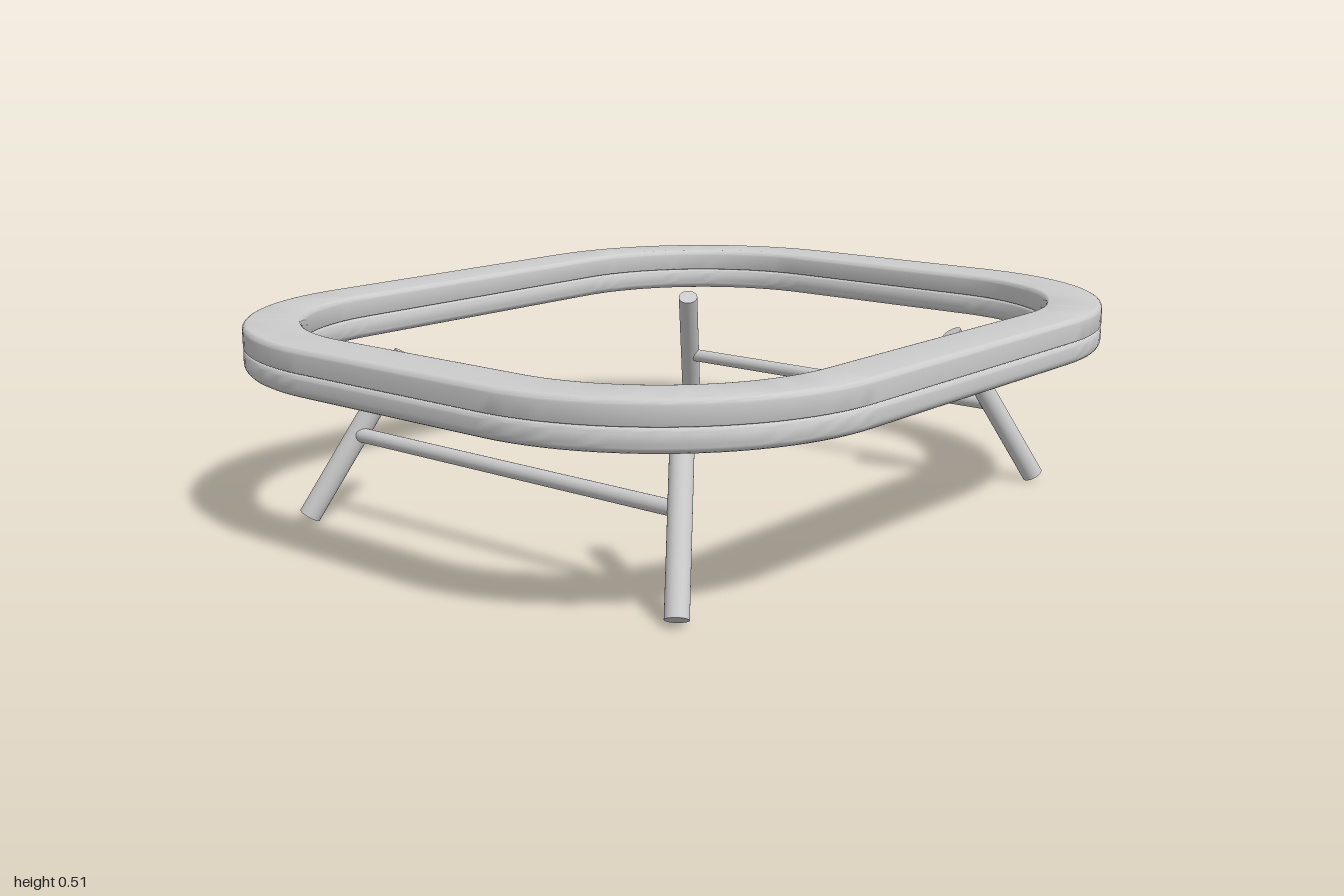
import * as THREE from 'three';
import { toCreasedNormals } from 'three/addons/utils/BufferGeometryUtils.js';

const UP = new THREE.Vector3(0, 1, 0);

// Closed profile of [inset from outer edge, height], swept round a rounded rectangle
function sweepFrame(profile) {
  const halfX = 0.86, halfZ = 1, radius = 0.575, steps = 24;
  const stations = [];
  for (let corner = 0; corner < 4; corner++) {
    for (let i = 0; i <= steps; i++) {
      const a = (corner + i / steps) * Math.PI / 2;
      const sx = corner === 0 || corner === 3 ? 1 : -1;
      const sz = corner < 2 ? 1 : -1;
      stations.push({ x: sx * (halfX - radius), z: sz * (halfZ - radius), c: Math.cos(a), s: Math.sin(a) });
    }
  }
  const positions = [], index = [];
  const n = profile.length, m = stations.length;
  for (const p of stations) {
    for (const [inset, y] of profile) {
      positions.push(p.x + p.c * (radius - inset), y, p.z + p.s * (radius - inset));
    }
  }
  for (let i = 0; i < m; i++) {
    for (let j = 0; j < n; j++) {
      const a = i * n + j, b = i * n + (j + 1) % n;
      const c = ((i + 1) % m) * n + j, d = ((i + 1) % m) * n + (j + 1) % n;
      index.push(a, b, c, b, d, c);
    }
  }
  const geometry = new THREE.BufferGeometry();
  geometry.setAttribute('position', new THREE.Float32BufferAttribute(positions, 3));
  geometry.setIndex(index);
  return toCreasedNormals(geometry, 0.6);
}

// Rectangle with rounded corners, running up the outer side and down the inner side
function bandProfile(y0, y1, width, rBottom, rTop) {
  const points = [];
  const corners = [
    [rBottom, y0 + rBottom, rBottom, -Math.PI / 2, Math.PI],
    [rTop, y1 - rTop, rTop, Math.PI, Math.PI / 2],
    [width - rTop, y1 - rTop, rTop, Math.PI / 2, 0],
    [width - rBottom, y0 + rBottom, rBottom, 0, -Math.PI / 2],
  ];
  corners.forEach(([x, y, r, from, to], k) => {
    if (k === 0) to = -Math.PI;
    for (let i = 0; i <= 5; i++) {
      const a = from + (to - from) * i / 5;
      points.push([x + r * Math.cos(a), y + r * Math.sin(a)]);
    }
  });
  return points;
}

// Round bar between two points
function bar(name, from, to, radius, material) {
  const direction = to.clone().sub(from);
  const mesh = new THREE.Mesh(new THREE.CylinderGeometry(radius, radius, direction.length(), 32), material);
  mesh.position.copy(from).add(to).multiplyScalar(0.5);
  mesh.quaternion.setFromUnitVectors(UP, direction.normalize());
  mesh.name = name;
  return mesh;
}

export function createModel() {
  const group = new THREE.Group();
  group.name = 'lowTableFrame';
  const grey = new THREE.MeshStandardMaterial({ color: 0xcccccc });
  grey.name = 'lightGrey';

  // Two stacked bands of the open rim, with a fine seam between them
  const lower = new THREE.Mesh(sweepFrame(bandProfile(0.398, 0.455, 0.14, 0.022, 0.014)), grey);
  lower.name = 'lowerRim';
  const upper = new THREE.Mesh(sweepFrame(bandProfile(0.455, 0.512, 0.14, 0.004, 0.014)), grey);
  upper.name = 'upperRim';
  group.add(lower, upper);

  // Splayed legs, and a stretcher joining each left and right pair
  for (const sz of [1, -1]) {
    const end = sz > 0 ? 'front' : 'back';
    for (const sx of [1, -1]) {
      const top = new THREE.Vector3(sx * 0.445, 0.41, sz * 0.545);
      const foot = new THREE.Vector3(sx * 0.592, 0.0145, sz * 0.742);
      group.add(bar(end + (sx > 0 ? 'Left' : 'Right') + 'Leg', foot, top, 0.027, grey));
    }
    group.add(bar(end + 'Stretcher', new THREE.Vector3(-0.51, 0.215, sz * 0.645),
      new THREE.Vector3(0.51, 0.215, sz * 0.645), 0.018, grey));
  }
  return group;
}
